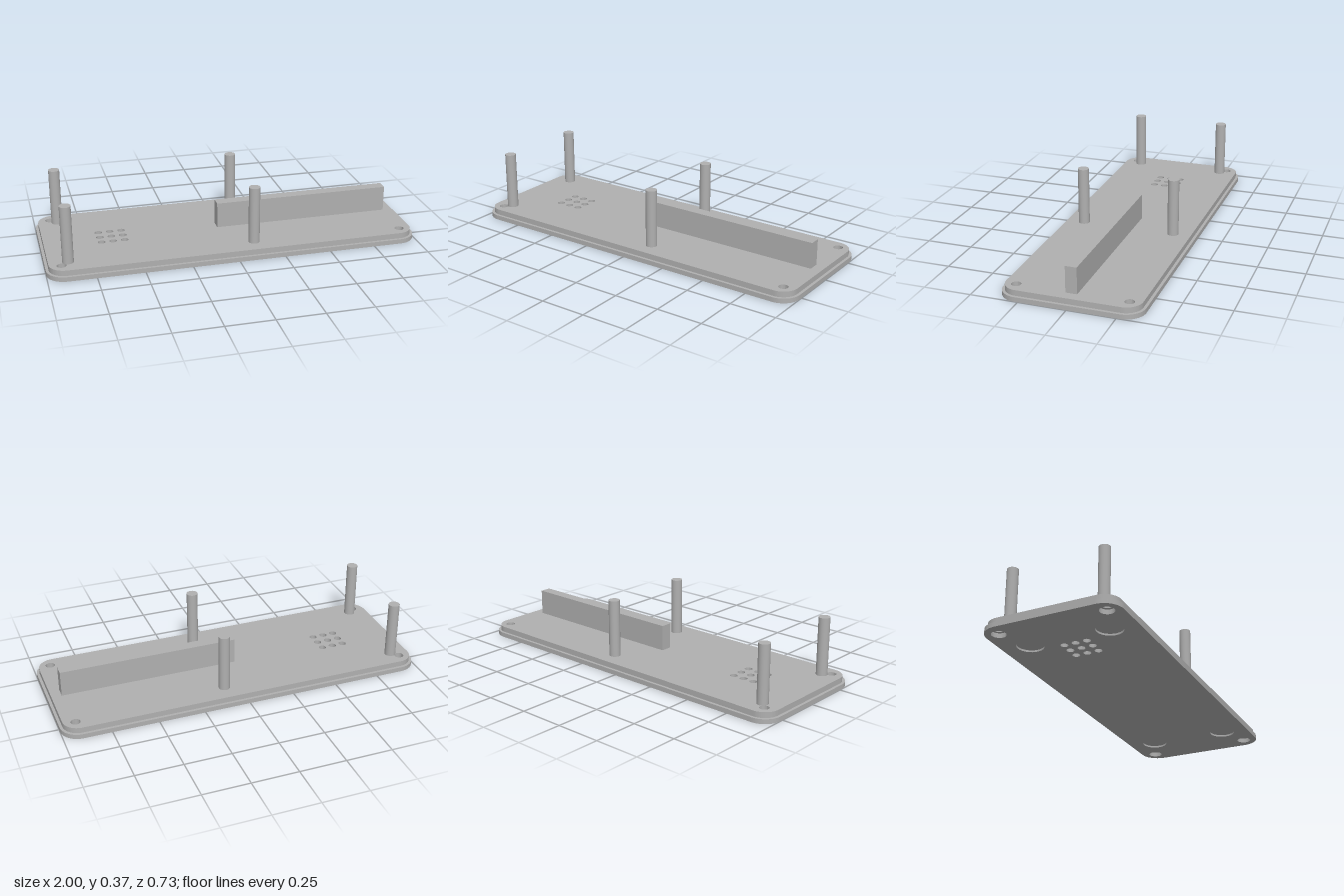
import * as THREE from 'three';
import { toCreasedNormals } from 'three/addons/utils/BufferGeometryUtils.js';

const CORNERS = [[1, 1], [1, -1], [-1, 1], [-1, -1]];
const mirrored = (x, z, r) => CORNERS.map(([sx, sz]) => [sx * x, sz * z, r]);

// Rounded slab between two heights, pierced by circular holes [x, z, radius]
function slab(halfX, halfZ, radius, y0, y1, holes) {
  const shape = new THREE.Shape();
  const cx = halfX - radius, cz = halfZ - radius;
  shape.absarc(cx, cz, radius, 0, Math.PI / 2);
  shape.absarc(-cx, cz, radius, Math.PI / 2, Math.PI);
  shape.absarc(-cx, -cz, radius, Math.PI, Math.PI * 1.5);
  shape.absarc(cx, -cz, radius, Math.PI * 1.5, Math.PI * 2);
  shape.closePath();
  for (const [x, z, r] of holes) {
    const hole = new THREE.Path();
    hole.absarc(x, -z, r, 0, Math.PI * 2, true);
    shape.holes.push(hole);
  }
  const geometry = new THREE.ExtrudeGeometry(shape, { depth: y1 - y0, bevelEnabled: false, curveSegments: 16 });
  geometry.rotateX(-Math.PI / 2).translate(0, y0, 0);
  return toCreasedNormals(geometry, 0.6);
}

export function createModel() {
  const model = new THREE.Group();
  model.name = 'enclosureBase';
  const grey = new THREE.MeshStandardMaterial({ color: 0xb0b0b0 });
  grey.name = 'grey';

  const add = (name, geometry, x = 0, y = 0, z = 0) => {
    const mesh = new THREE.Mesh(geometry, grey);
    mesh.name = name;
    mesh.position.set(x, y, z);
    model.add(mesh);
  };

  // Hole layouts
  const vents = [];
  for (let i = -1; i <= 1; i++) {
    for (let j = -1; j <= 1; j++) vents.push([-0.62 + i * 0.062, j * 0.062, 0.02]);
  }
  const screwHoles = mirrored(0.92, 0.29, 0.025);
  const counterbores = mirrored(0.92, 0.29, 0.038);
  const footRecesses = mirrored(0.745, 0.217, 0.07);

  // Stepped base plate: recessed underside, counterbored rim, inset lip
  add('underside', slab(1, 0.367, 0.1, 0, 0.01, [...vents, ...counterbores, ...footRecesses]));
  add('lowerPlate', slab(1, 0.367, 0.1, 0.01, 0.025, [...vents, ...counterbores]));
  add('upperPlate', slab(0.985, 0.352, 0.085, 0.025, 0.055, [...vents, ...screwHoles]));

  // Four standing posts
  const post = new THREE.CylinderGeometry(0.03, 0.03, 0.312, 32);
  for (const x of [-0.883, 0.105]) {
    for (const z of [-0.254, 0.254]) add('post', post, x, 0.211, z);
  }

  // Long central rib
  add('rib', new THREE.BoxGeometry(0.97, 0.14, 0.06), 0.445, 0.125, 0);

  return model;
}
